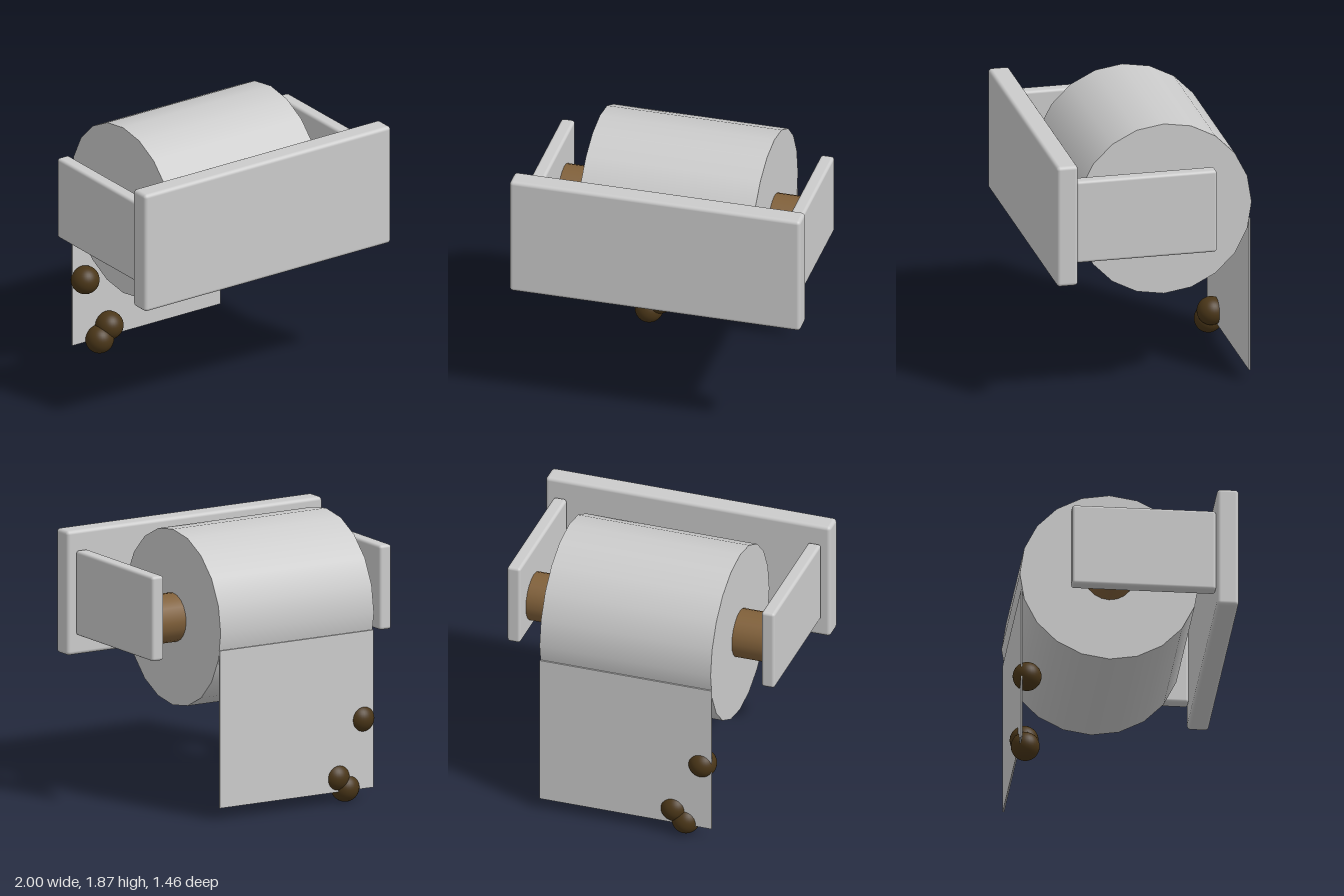
import * as THREE from 'three';
import { RoundedBoxGeometry } from 'three/addons/geometries/RoundedBoxGeometry.js';

export function createModel() {
  const group = new THREE.Group();
  const grey = new THREE.MeshStandardMaterial({ color: 0xcccccc });
  const cardboard = new THREE.MeshStandardMaterial({ color: 0x80603a });
  const brown = new THREE.MeshStandardMaterial({ color: 0x4a3618 });

  const add = (name, geometry, material, x, y, z) => {
    const mesh = new THREE.Mesh(geometry, material);
    mesh.name = name;
    mesh.position.set(x, y, z);
    group.add(mesh);
    return mesh;
  };

  // Wide mounting plate with softened edges
  add('wallPlate', new RoundedBoxGeometry(2, 0.845, 0.145, 3, 0.025), grey, 0, 1.347, 0.657);

  // Side arms reaching back from the plate
  for (const [side, name] of [[1, 'leftArm'], [-1, 'rightArm']]) {
    add(name, new RoundedBoxGeometry(0.093, 0.575, 0.96, 3, 0.02), grey, side * 0.892, 1.348, 0.104);
  }

  // Cylinders lying along x, with a vertex at the top
  const axle = (radius, length, sides) =>
    new THREE.CylinderGeometry(radius, radius, length, sides).rotateZ(Math.PI / 2);
  add('paperRoll', axle(0.598, 1.2, 20), grey, 0, 1.272, -0.093);
  add('cardboardCore', axle(0.165, 1.7, 20), cardboard, 0, 1.272, -0.095);

  // Loose sheet hanging down behind the roll
  add('hangingSheet', new THREE.BoxGeometry(1.205, 1.07, 0.01), grey, 0, 0.618, -0.678);

  // Small balls stuck on the sheet
  const balls = [[-0.525, 0.555], [-0.33, 0.178], [-0.408, 0.097]];
  balls.forEach(([x, y], i) =>
    add('ball' + (i + 1), new THREE.SphereGeometry(0.096, 32, 20), brown, x, y, -0.635));

  return group;
}
